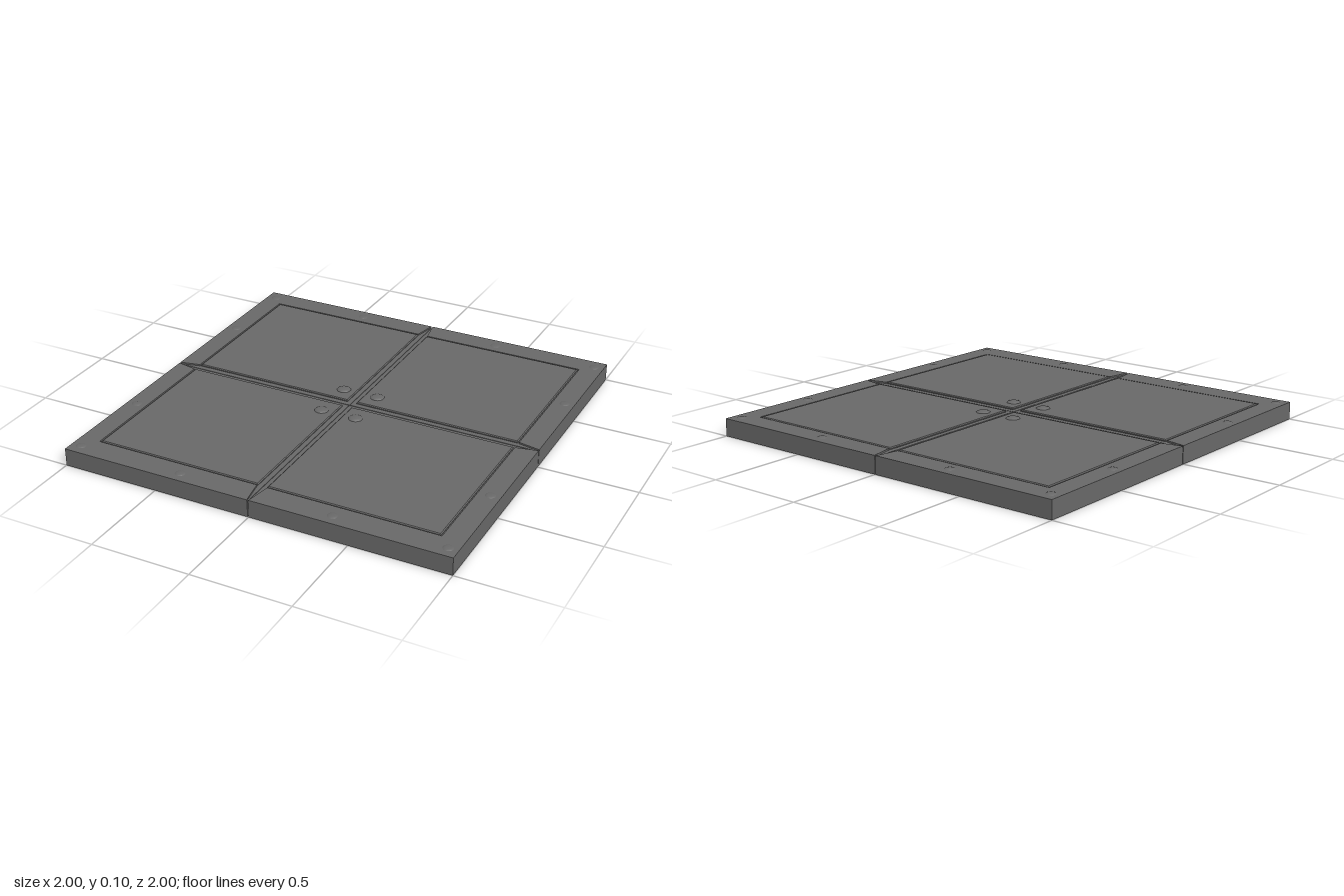
import * as THREE from 'three';

const CX = -0.003, CZ = -0.006; // where the two seams cross

export function createModel() {
  const model = new THREE.Group();
  model.name = 'floorTile';
  const metal = new THREE.MeshStandardMaterial({ color: 0x686868 });
  metal.name = 'dark grey metal';

  function add(name, geometry, x = 0, y = 0, z = 0) {
    const mesh = new THREE.Mesh(geometry, metal);
    mesh.name = name;
    mesh.position.set(x, y, z);
    model.add(mesh);
    return mesh;
  }

  // Flat plate from [x, z] corners, chamfered along its upper edge
  function plate(name, corners, bottom, top, chamfer = 0) {
    const shape = new THREE.Shape(corners.map(([x, z]) => new THREE.Vector2(x, -z)));
    const rise = chamfer * 0.8;
    const geometry = new THREE.ExtrudeGeometry(shape, {
      depth: top - bottom - rise * 2,
      bevelEnabled: chamfer > 0,
      bevelSize: chamfer,
      bevelOffset: -chamfer,
      bevelThickness: rise,
      bevelSegments: 1,
    });
    geometry.translate(0, 0, rise);
    geometry.rotateX(-Math.PI / 2);
    add(name, geometry, 0, bottom, 0);
  }

  // Low stud with a sloped rim
  function stud(name, x, z, radius, bottom, top) {
    const h = top - bottom;
    const profile = [[0, h], [radius * 0.55, h * 0.9], [radius * 0.85, h * 0.55], [radius, 0]]
      .reverse().map(([r, y]) => new THREE.Vector2(r, y));
    add(name, new THREE.LatheGeometry(profile, 14), x, bottom, z);
  }

  // Core that closes the underside and the seams
  const core = new THREE.BoxGeometry(1.985, 0.079, 1.985);
  add('core', core, 0, 0.0395, 0);

  for (const sx of [-1, 1]) {
    for (const sz of [-1, 1]) {
      const px = (d) => CX + sx * d;
      const pz = (d) => CZ + sz * d;
      const ex = sx, ez = sz; // outer edges of the tile

      // Quarter block, split from its neighbours by a hairline gap
      plate('quarterBlock', [
        [px(0.002), pz(0.002)], [ex, pz(0.002)], [ex, ez], [px(0.002), ez],
      ], 0, 0.082);

      // L-shaped rim, flaring away from the seam on the inside
      plate('rim', [
        [px(0.004), ez], [ex, ez], [ex, pz(0.004)], [px(0.892), pz(0.027)],
        [px(0.892), pz(0.874)], [px(0.027), pz(0.874)],
      ], 0.08, 0.09);

      // Raised inset panel
      plate('panel', [
        [px(0.025), pz(0.027)], [px(0.885), pz(0.027)],
        [px(0.885), pz(0.868)], [px(0.025), pz(0.868)],
      ], 0.08, 0.092, 0.005);

      // Large stud near the crossing, small rivets along the rim
      stud('centreStud', px(0.094), pz(0.121), 0.037, 0.091, 0.101);
      stud('cornerRivet', sx * 0.95, sz * 0.94, 0.026, 0.0895, 0.0945);
      stud('edgeRivet', sx * 0.395, sz * 0.94, 0.026, 0.0895, 0.0945);
      stud('sideRivet', sx * 0.95, sz * 0.483 - 0.013, 0.026, 0.0895, 0.0945);
    }
  }
  return model;
}
